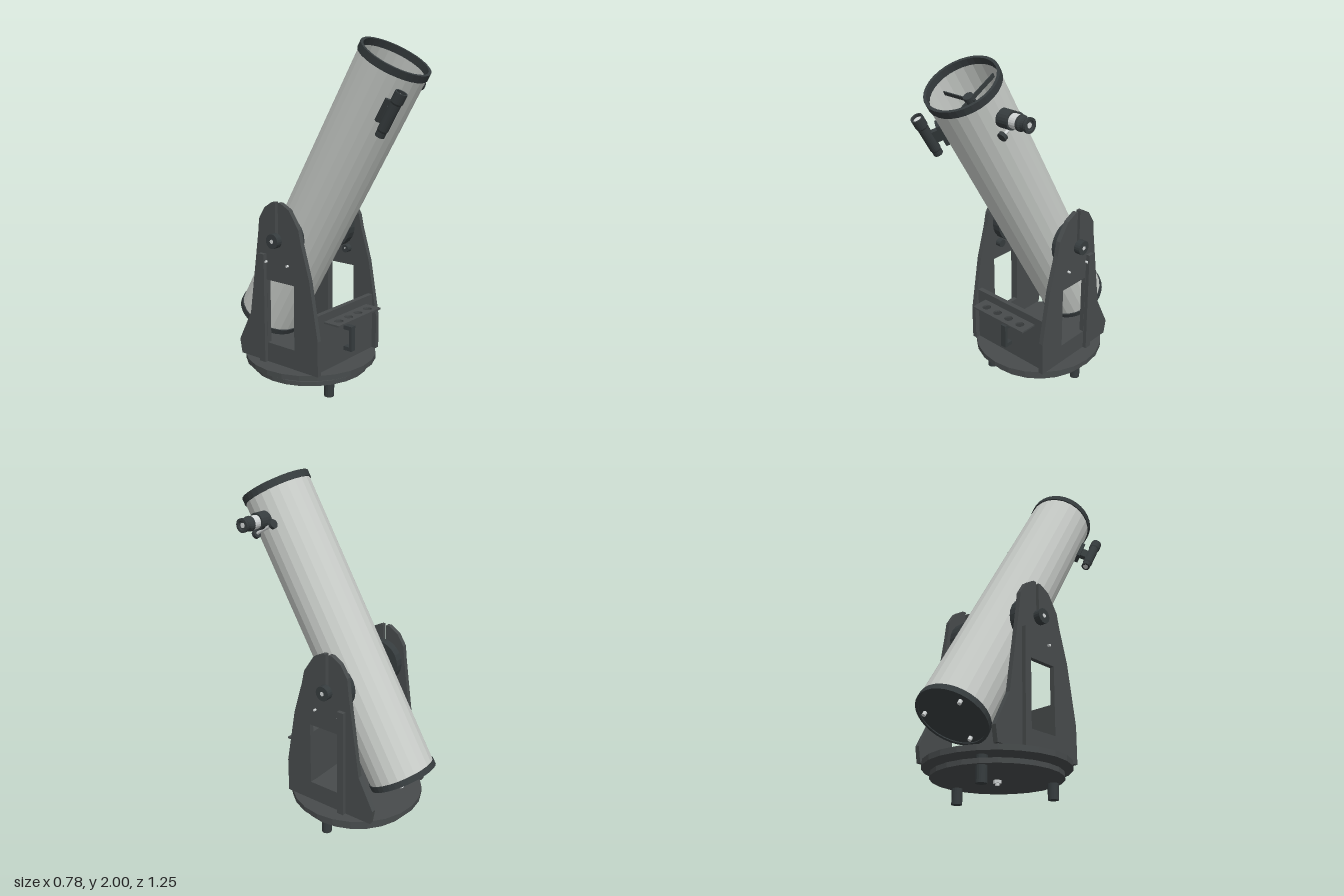
import * as THREE from 'three';

const mat = (name, color, double) => {
  const m = new THREE.MeshStandardMaterial({ color, flatShading: true });
  m.name = name;
  if (double) m.side = THREE.DoubleSide;
  return m;
};

export function createModel() {
  const board = mat('charcoal board', 0x474b4c);
  const fitting = mat('dark fitting', 0x363c3e);
  const shell = mat('pale grey tube', 0xc9cdc9, true);
  const metal = mat('bright metal', 0xd2d6d6);

  const model = new THREE.Group();
  model.name = 'telescope';
  const CZ = -0.126, PIVOT = 0.9;

  const add = (parent, name, geo, material, x = 0, y = 0, z = 0) => {
    const m = new THREE.Mesh(geo, material);
    m.name = name;
    m.position.set(x, y, z);
    parent.add(m);
    return m;
  };
  const box = (w, h, d) => new THREE.BoxGeometry(w, h, d);
  const cyl = (r, h, n = 24, r2 = r) => new THREE.CylinderGeometry(r, r2, h, n);
  const cylX = (r, h, n = 24) => cyl(r, h, n).rotateZ(-Math.PI / 2);
  const lathe = (pts, n = 24) => new THREE.LatheGeometry(pts.map(p => new THREE.Vector2(...p)), n);
  const ring = (ro, ri, h, n) => lathe([[ri, 0], [ro, 0], [ro, h], [ri, h], [ri, 0]], n);

  // Ground board, turntable and feet
  add(model, 'turntable', cyl(0.39, 0.03).rotateY(Math.PI / 2), board, 0, 0.15, CZ);
  add(model, 'groundBoard', cyl(0.346, 0.026).rotateY(Math.PI / 2), board, 0, 0.098, CZ);
  for (let i = 0; i < 3; i++) {
    const a = i * Math.PI * 2 / 3;
    add(model, 'foot', cyl(0.029, 0.135, 16), fitting, 0.3 * Math.cos(a), 0.0675, CZ + 0.3 * Math.sin(a));
  }
  add(model, 'centreBolt', cyl(0.011, 0.08, 12), metal, 0, 0.095, CZ);
  add(model, 'centreNut', cyl(0.022, 0.016, 6), metal, 0, 0.074, CZ);

  // Rocker side outline in (-z, y), with the bearing slot at the top
  const outline = [[-0.165, 0.165], [0.42, 0.165], [0.435, 0.25], [0.34, 0.435], [0.27, 0.918], [0.26, 1.008],
    [0.217, 1.077], [0.16, 1.112], [0.138, 1.112], [0.138, 0.89], [0.117, 0.89], [0.117, 1.112], [0.1, 1.112],
    [0.037, 1.08], [-0.03, 0.98], [-0.048, 0.9], [-0.106, 0.705], [-0.165, 0.37]];
  const side = new THREE.Shape(outline.map(p => new THREE.Vector2(...p)));
  side.holes.push(new THREE.Path([[0.005, 0.281], [0.005, 0.658], [0.207, 0.658], [0.207, 0.281]]
    .map(p => new THREE.Vector2(...p))));
  const sideGeo = new THREE.ExtrudeGeometry(side, { depth: 0.028, bevelEnabled: false })
    .translate(0, 0, -0.014).rotateY(Math.PI / 2);

  for (const s of [-1, 1]) {
    add(model, 'rockerSide', sideGeo, board, s * 0.276);
    add(model, 'sideRib', box(0.024, 0.645, 0.042), board, s * 0.301, 0.4875, -0.23);
    // Rollers carrying the altitude bearing
    for (const dz of [-0.08, 0.08]) {
      add(model, 'roller', cylX(0.024, 0.034, 16), fitting, s * 0.244, 0.762, CZ + dz);
      add(model, 'rollerBolt', cylX(0.007, 0.078, 8), metal, s * 0.266, 0.765, CZ + dz);
    }
    // Altitude bearing, shaft and tension knob
    add(model, 'bearingFlange', cylX(0.084, 0.03), fitting, s * 0.194, PIVOT, CZ);
    add(model, 'altitudeBearing', cylX(0.13, 0.05), fitting, s * 0.232, PIVOT, CZ);
    add(model, 'bearingShaft', cylX(0.012, 0.084, 12), metal, s * 0.294, PIVOT, CZ);
    add(model, 'tensionKnob', cylX(0.042, 0.038, 20), fitting, s * 0.315, PIVOT, CZ);
  }

  // Front board, handle and eyepiece tray
  add(model, 'frontBoard', box(0.526, 0.337, 0.03), board, 0, 0.3335, 0.12);
  add(model, 'handleGrip', box(0.036, 0.15, 0.018), fitting, 0, 0.31, 0.182);
  for (const y of [0.247, 0.373]) add(model, 'handlePost', box(0.036, 0.024, 0.045), fitting, 0, y, 0.153);
  const tray = new THREE.Shape([[-0.2, 0.13], [0.2, 0.13], [0.2, 0.24], [-0.2, 0.24]]
    .map(p => new THREE.Vector2(...p)));
  for (let i = 0; i < 4; i++) {
    const hole = new THREE.Path();
    hole.absarc(-0.135 + i * 0.09, 0.19, 0.026, 0, Math.PI * 2, true);
    tray.holes.push(hole);
  }
  add(model, 'eyepieceTray', new THREE.ExtrudeGeometry(tray, { depth: 0.01, bevelEnabled: false, curveSegments: 8 })
    .rotateX(Math.PI / 2), board, 0, 0.456);

  // Optical tube, tilted about the altitude axis
  const tube = new THREE.Group();
  tube.name = 'opticalTube';
  tube.position.set(0, PIVOT, CZ);
  tube.rotation.x = Math.PI / 6;
  model.add(tube);
  add(tube, 'tubeShell', new THREE.CylinderGeometry(0.194, 0.194, 1.77, 24, 1, true), shell, 0, 0.255);
  add(tube, 'frontRim', ring(0.2, 0.184, 0.04, 32), fitting, 0, 1.112);
  add(tube, 'rearRim', ring(0.2, 0.184, 0.034, 32), fitting, 0, -0.65);
  add(tube, 'rearCell', cyl(0.186, 0.02), fitting, 0, -0.634);
  add(tube, 'primaryMirror', cyl(0.17, 0.03), metal, 0, -0.59);
  for (let i = 0; i < 3; i++) {
    const a = Math.PI / 2 + i * Math.PI * 2 / 3;
    add(tube, 'collimationBolt', cyl(0.011, 0.025, 10), metal, 0.15 * Math.cos(a), -0.653, 0.15 * Math.sin(a));
  }

  // Spider and secondary mirror
  add(tube, 'spiderVane', box(0.38, 0.024, 0.006), fitting, 0, 1.04);
  add(tube, 'spiderVane', box(0.006, 0.024, 0.38), fitting, 0, 1.04);
  add(tube, 'spiderHub', cyl(0.027, 0.05, 16), fitting, 0, 1.045);
  add(tube, 'secondaryStalk', cyl(0.012, 0.05, 10), fitting, 0, 1.005);
  add(tube, 'secondaryMirror', cyl(0.045, 0.01, 20), metal, 0, 0.98).rotation.z = Math.PI / 4;

  // Focuser with eyepiece, pointing along +x
  const focuser = new THREE.Group();
  focuser.name = 'focuser';
  focuser.position.set(0, 0.98, 0);
  tube.add(focuser);
  add(focuser, 'focuserBody', cylX(0.048, 0.078, 20), fitting, 0.223);
  add(focuser, 'drawTube', cylX(0.038, 0.052, 20), metal, 0.286);
  add(focuser, 'eyepiece', lathe([[0, 0.308], [0.041, 0.308], [0.041, 0.322], [0.034, 0.332], [0.034, 0.35],
    [0.039, 0.358], [0.039, 0.372], [0.026, 0.372], [0.022, 0.364], [0, 0.364]], 20).rotateZ(-Math.PI / 2), fitting);
  add(focuser, 'eyeLens', cylX(0.014, 0.004, 16), metal, 0.365);
  add(focuser, 'focusAxle', cyl(0.009, 0.13, 10).rotateX(Math.PI / 2), metal, 0.224, -0.05);
  for (const s of [-1, 1])
    add(focuser, 'focusKnob', cyl(0.025, 0.02, 16).rotateX(Math.PI / 2), fitting, 0.224, -0.05, s * 0.07);

  // Finder scope; its group's +z points outward from the tube
  const finder = new THREE.Group();
  finder.name = 'finderScope';
  finder.rotation.y = Math.atan2(-0.17, 0.215);
  tube.add(finder);
  add(finder, 'finderBase', box(0.06, 0.13, 0.045), fitting, 0, 0.93, 0.19);
  add(finder, 'finderStem', box(0.026, 0.07, 0.06), fitting, 0, 0.93, 0.235);
  add(finder, 'finderBody', lathe([[0, 0.822], [0.026, 0.822], [0.026, 0.85], [0.029, 0.86], [0.029, 1.01],
    [0.033, 1.02], [0.033, 1.075], [0.025, 1.075], [0.025, 1.055], [0, 1.055]], 20), fitting, 0, 0, 0.274);
  add(finder, 'finderLens', cyl(0.024, 0.004, 20), metal, 0, 1.058, 0.274);
  add(finder, 'finderEyeLens', cyl(0.015, 0.004, 16), metal, 0, 0.821, 0.274);

  return model;
}
